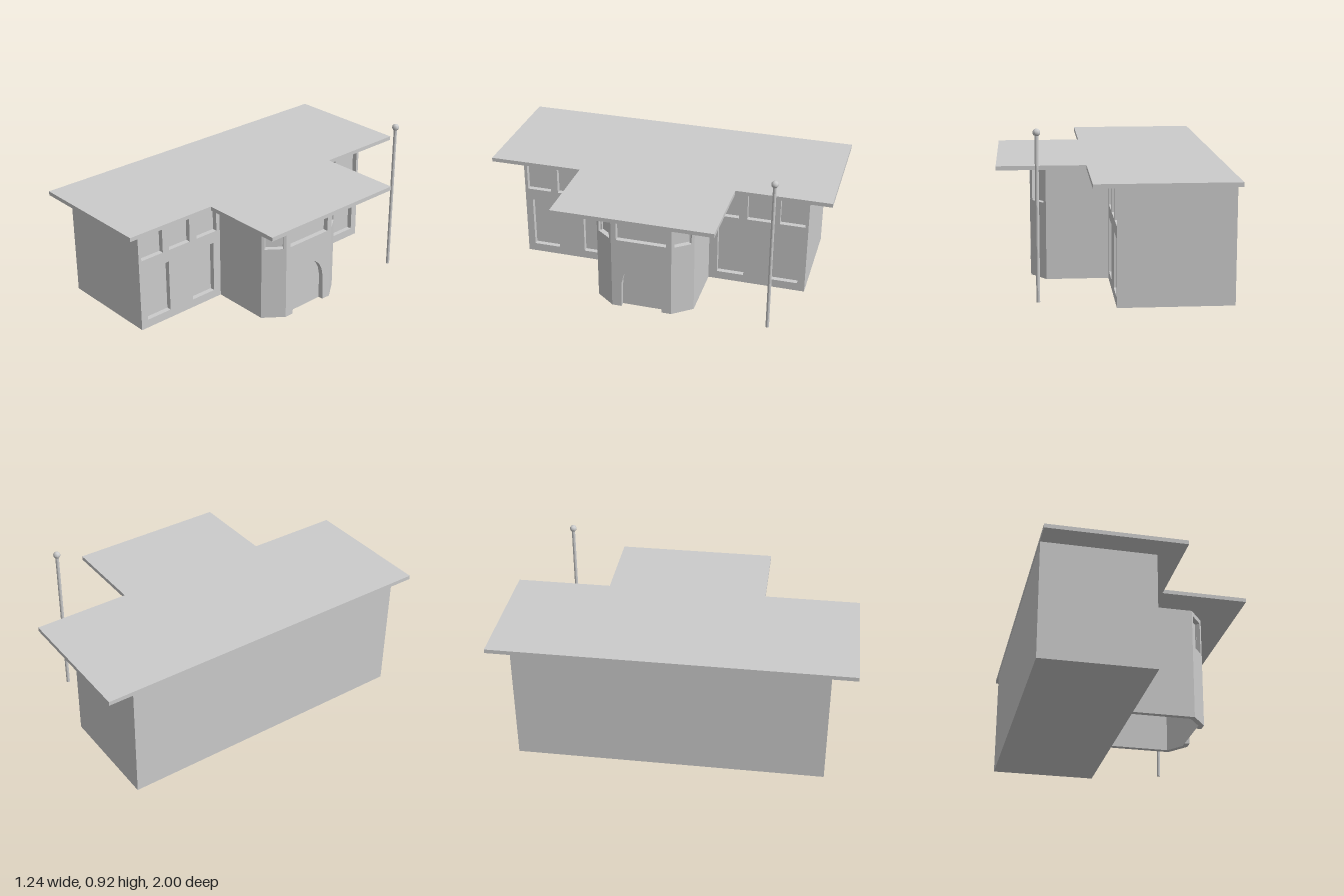
import * as THREE from 'three';

const H = 0.66, DEPTH = 0.03;
const mat = new THREE.MeshStandardMaterial({ color: 0xcccccc, flatShading: true, side: THREE.DoubleSide });

function add(parent, name, geo, x = 0, y = 0, z = 0) {
  const m = new THREE.Mesh(geo, mat);
  m.name = name;
  m.position.set(x, y, z);
  parent.add(m);
  return m;
}

function box(parent, name, x0, x1, y0, y1, z0, z1) {
  return add(parent, name, new THREE.BoxGeometry(x1 - x0, y1 - y0, z1 - z0),
    (x0 + x1) / 2, (y0 + y1) / 2, (z0 + z1) / 2);
}

// Upright wall from plan point a to b (x, z), outside on the right-hand side.
// Windows are [u0, u1, v0, v1]; arch is a list of points cut up from the ground.
function wall(parent, name, a, b, windows = [], arch = []) {
  const dx = b[0] - a[0], dz = b[1] - a[1], len = Math.hypot(dx, dz);
  const pts = [[0, 0], ...arch, [len, 0], [len, H], [0, H]];
  const shape = new THREE.Shape(pts.map(p => new THREE.Vector2(...p)));
  for (const [u0, u1, v0, v1] of windows) {
    shape.holes.push(new THREE.Path([[u0, v0], [u0, v1], [u1, v1], [u1, v0]].map(p => new THREE.Vector2(...p))));
  }
  const g = new THREE.Group();
  g.name = name;
  g.position.set(a[0], 0, a[1]);
  g.rotation.y = Math.atan2(-dz, dx);
  const face = new THREE.ExtrudeGeometry(shape, { depth: DEPTH, bevelEnabled: false });
  add(g, name + 'Face', face, 0, 0, -DEPTH);
  // Recessed backing behind the openings
  if (windows.length || arch.length) {
    add(g, name + 'Backing', new THREE.PlaneGeometry(len, H), len / 2, H / 2, -DEPTH);
  }
  parent.add(g);
}

export function createModel() {
  const model = new THREE.Group();
  model.name = 'building';

  // Main block with its window front
  box(model, 'mainBlock', -0.62, -DEPTH, 0, H, -0.86, 0.86);
  const half = 0.86, windows = [];
  for (const s of [1, -1]) {
    const put = (z0, z1, v0, v1) => {
      const u = [half - s * z0, half - s * z1].sort((p, q) => p - q);
      windows.push([u[0], u[1], v0, v1]);
    };
    for (const z of [0.31, 0.505, 0.695]) put(z, z + 0.147, 0.43, 0.635);
    for (const z of [0.335, 0.657]) put(z, z + 0.16, 0.05, 0.36);
  }
  wall(model, 'mainFront', [0, half], [0, -half], windows);

  // Projecting entrance bay, open underneath
  const bay = new THREE.Group();
  bay.name = 'entranceBay';
  const P = [[0, 0.285], [0.35, 0.285], [0.435, 0.175], [0.435, -0.175], [0.35, -0.285], [0, -0.285]];
  const slantWindow = [[0.018, 0.121, 0.437, 0.63]];
  const side = [[0.12, 0], [0.116, 0.16], [0.105, 0.21], [0.082, 0.25], [0.047, 0.28]];
  const arch = [...side.map(([u, v]) => [0.175 - u, v]), [0.175, 0.288],
    ...side.slice().reverse().map(([u, v]) => [0.175 + u, v])];
  wall(bay, 'baySideLeft', P[0], P[1]);
  wall(bay, 'bayCornerLeft', P[1], P[2], slantWindow);
  wall(bay, 'bayFront', P[2], P[3], [[0.03, 0.32, 0.437, 0.63]], arch);
  wall(bay, 'bayCornerRight', P[3], P[4], slantWindow);
  wall(bay, 'baySideRight', P[4], P[5]);
  model.add(bay);

  // Flat overhanging roof
  box(model, 'mainRoof', -0.622, 0.132, 0.657, 0.68, -1, 1);
  box(model, 'entranceRoof', 0.132, 0.62, 0.657, 0.68, -0.457, 0.457);

  // Flagpole with a ball on top
  add(model, 'flagpole', new THREE.CylinderGeometry(0.01, 0.01, 0.9, 12), 0.403, 0.45, -0.723);
  add(model, 'flagpoleBall', new THREE.SphereGeometry(0.02, 16, 12), 0.403, 0.9, -0.723);

  return model;
}
